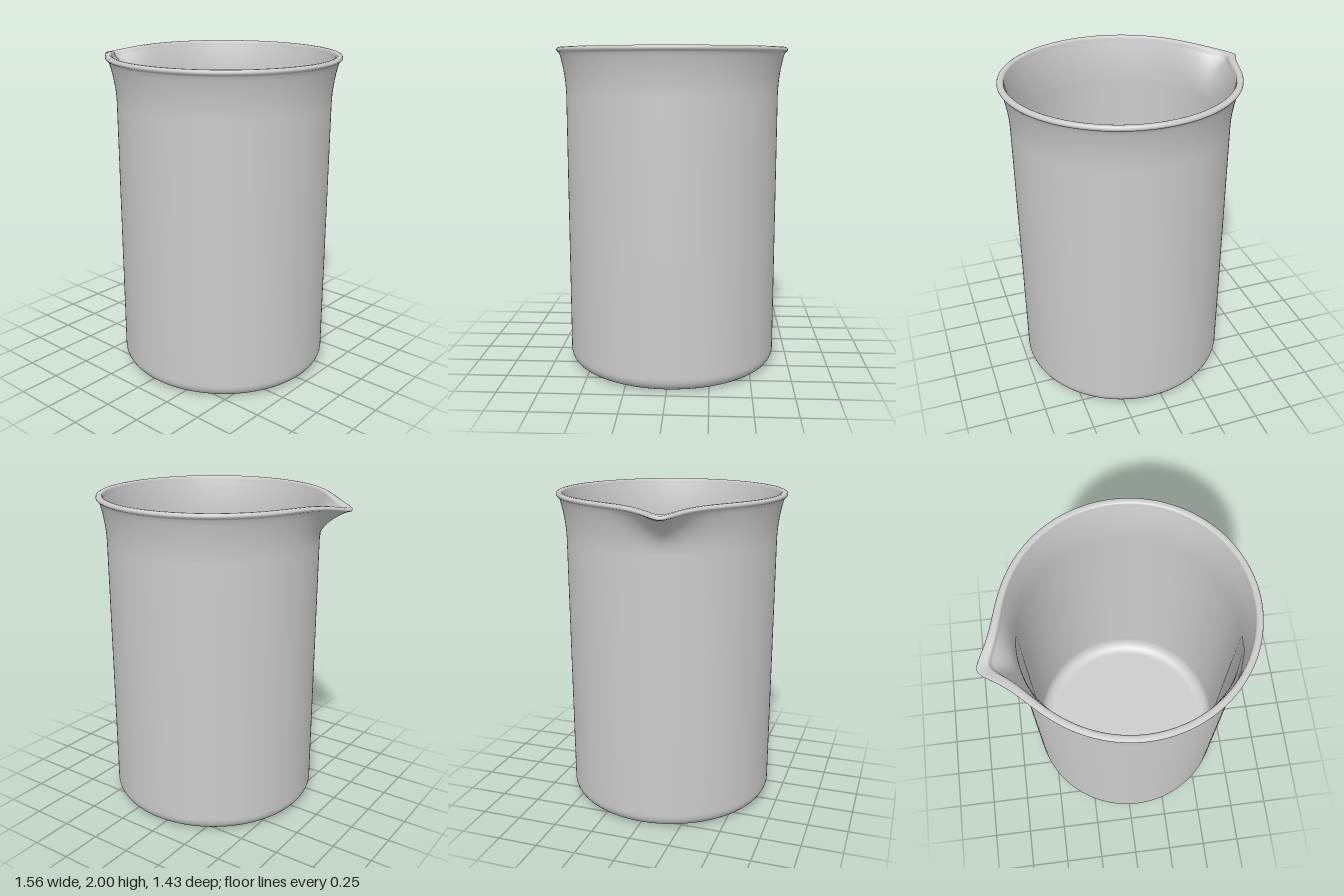
import * as THREE from 'three';
import { mergeVertices } from 'three/addons/utils/BufferGeometryUtils.js';

const CENTRE_X = 0.06;
const SPOUT_ANGLE = 14; // degrees from -x towards +z
const FLARE_START = 1.72;

// Quarter-round corner points between two angles
function arc(cx, cy, r, from, to, steps = 8) {
  return Array.from({ length: steps + 1 }, (_, i) => {
    const a = from + ((to - from) * i) / steps;
    return [cx + r * Math.cos(a), cy + r * Math.sin(a)];
  });
}

// Points along a smooth curve
function smooth(points, steps) {
  const curve = new THREE.SplineCurve(points.map(([x, y]) => new THREE.Vector2(x, y)));
  return curve.getPoints(steps).map((p) => [p.x, p.y]);
}

// Pull the flared rim outwards and slightly down into a pouring lip
function formSpout(geometry, rowLength, innerFrom) {
  const pos = geometry.attributes.position;
  for (let i = 0; i < pos.count; i++) {
    const x = pos.getX(i), y = pos.getY(i), z = pos.getZ(i);
    if (y <= FLARE_START) continue;
    const d = THREE.MathUtils.radToDeg(Math.atan2(z, -x)) - SPOUT_ANGLE;
    const off = Math.abs(d) > 180 ? 360 - Math.abs(d) : Math.abs(d);
    const weight = Math.exp(-(Math.hypot(off, 3) - 3) / 9);
    const t = Math.min(1, (y - FLARE_START) / (1.98 - FLARE_START));
    const reach = i % rowLength >= innerFrom ? 0.115 : 0.15;
    const r = Math.hypot(x, z);
    const k = (r + reach * weight * t ** 2.2) / r;
    pos.setXYZ(i, x * k, y - 0.04 * weight * t * t, z * k);
  }
}

export function createModel() {
  const group = new THREE.Group();

  // Underside with shallow recessed rings, rounded foot, outer wall and flare
  const outer = [
    [0, 0.012], [0.232, 0.012], [0.236, 0.011], [0.242, 0.008], [0.246, 0.007],
    [0.445, 0.007], [0.455, 0.006], [0.465, 0.001], [0.475, 0],
    ...arc(0.58, 0.08, 0.08, -Math.PI / 2, 0),
    [0.66, 0.1], [0.66, 0.8], [0.66, 1.68],
    ...smooth([[0.66, 1.72], [0.664, 1.79], [0.675, 1.87], [0.69, 1.94], [0.7, 1.968]], 14),
    [0.709, 1.973], [0.714, 1.98], [0.715, 1.987], [0.711, 1.996], [0.702, 2],
  ];
  // Inner edge of the rim, inner wall and floor
  const inner = [
    [0.687, 2], [0.679, 1.997], [0.675, 1.99],
    ...smooth([[0.673, 1.975], [0.661, 1.91], [0.649, 1.82], [0.643, 1.72]], 14),
    [0.643, 1.68], [0.643, 0.8], [0.643, 0.13],
    ...arc(0.553, 0.11, 0.09, 0, -Math.PI / 2),
    [0.5, 0.02], [0, 0.02],
  ];

  const profile = [...outer, ...inner].map(([x, y]) => new THREE.Vector2(x, y));
  let geometry = new THREE.LatheGeometry(profile, 240);
  formSpout(geometry, profile.length, outer.length);

  // Weld the seam so the shading is continuous all round
  geometry.deleteAttribute('uv');
  geometry.deleteAttribute('normal');
  geometry = mergeVertices(geometry, 1e-5);
  geometry.computeVertexNormals();

  const beaker = new THREE.Mesh(geometry, new THREE.MeshStandardMaterial({ color: 0xcccccc }));
  beaker.name = 'beakerWithSpout';
  beaker.position.x = CENTRE_X;
  group.add(beaker);
  return group;
}
